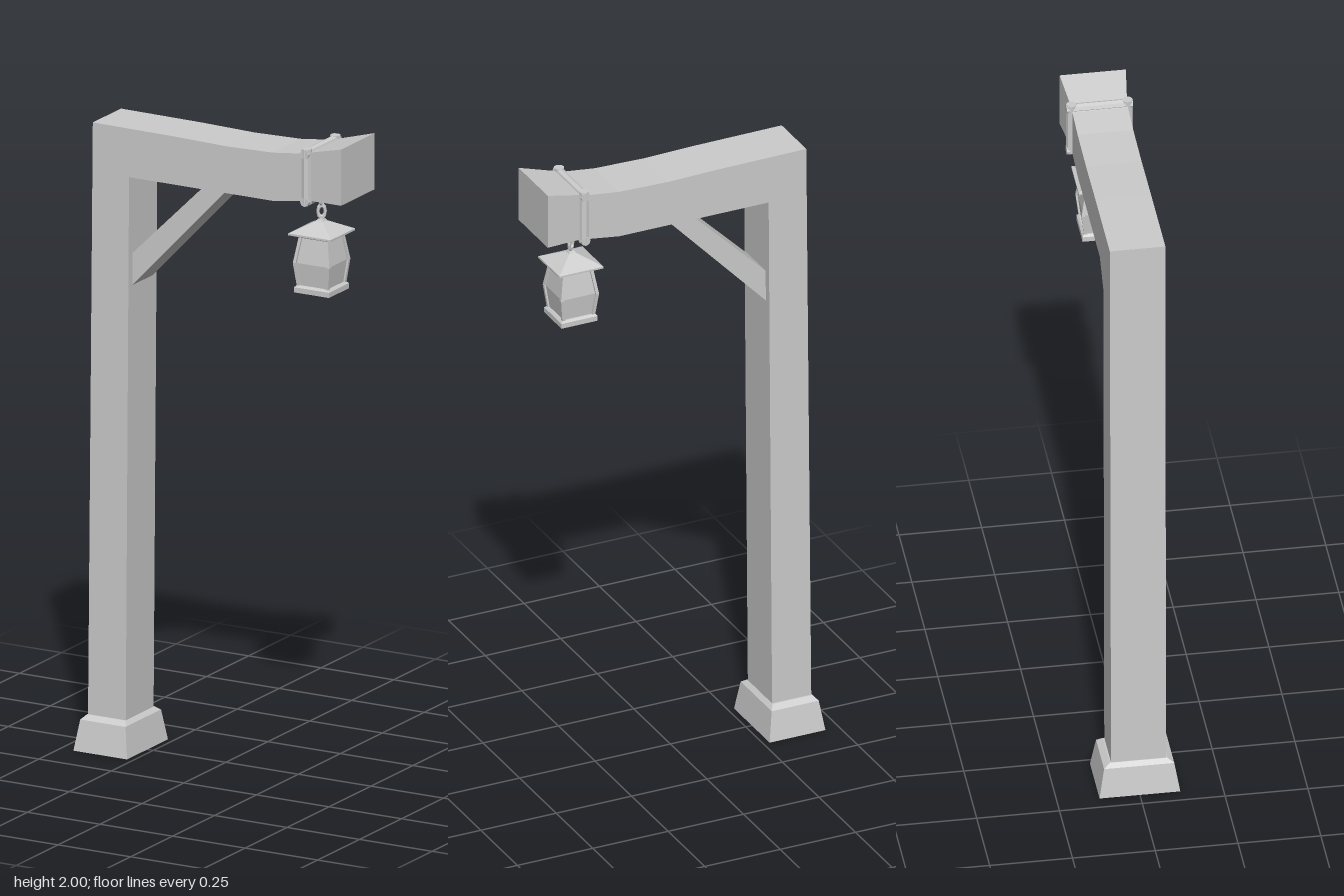
import * as THREE from 'three';

const material = new THREE.MeshStandardMaterial({ color: 0xcccccc, flatShading: true });

// Skin four-cornered sections [ax, ay, bx, by, halfDepth, zCentre]; a lies left of the travel direction.
function loft(sections) {
  const rings = sections.map(([ax, ay, bx, by, h, z = 0]) => [
    [ax, ay, z + h], [bx, by, z + h], [bx, by, z - h], [ax, ay, z - h],
  ]);
  const pos = [];
  const quad = (a, b, c, d) => pos.push(...a, ...b, ...c, ...a, ...c, ...d);
  for (let k = 0; k < rings.length - 1; k++) {
    const r = rings[k], s = rings[k + 1];
    for (let i = 0; i < 4; i++) {
      const j = (i + 1) % 4;
      quad(r[i], r[j], s[j], s[i]);
    }
  }
  const first = rings[0], last = rings[rings.length - 1];
  quad(first[3], first[2], first[1], first[0]);
  quad(last[0], last[1], last[2], last[3]);
  const g = new THREE.BufferGeometry();
  g.setAttribute('position', new THREE.Float32BufferAttribute(pos, 3));
  g.computeVertexNormals();
  return g;
}

// Upright stack of rectangles given as [y, halfWidth, halfDepth]
const stack = (cx, levels) =>
  loft(levels.map(([y, w, d = w]) => [cx - w, y, cx + w, y, d]));

function add(parent, name, geometry) {
  const mesh = new THREE.Mesh(geometry, material);
  mesh.name = name;
  parent.add(mesh);
  return mesh;
}

export function createModel() {
  const model = new THREE.Group();
  model.name = 'lampPost';

  // Tapered foot with a bevelled top
  add(model, 'foot', stack(-0.3625, [
    [0, 0.0925, 0.122], [0.095, 0.078, 0.106], [0.108, 0.066, 0.087],
  ]));

  // Post turning through a mitred corner into the upswept arm
  add(model, 'postAndArm', loft([
    [-0.427, 0.1, -0.297, 0.1, 0.083],
    [-0.41, 1.952, -0.285, 1.8, 0.084],
    [-0.13, 1.95, -0.13, 1.8, 0.084],
    [0.05, 1.946, 0.05, 1.8, 0.084],
    [0.21, 1.95, 0.21, 1.8, 0.084],
    [0.31, 1.962, 0.31, 1.814, 0.084],
    [0.345, 1.971, 0.345, 1.82, 0.086],
    [0.455, 2, 0.455, 1.825, 0.1],
  ]));

  // Diagonal brace
  add(model, 'brace', loft([
    [-0.29, 1.555, -0.29, 1.455, 0.06],
    [-0.04, 1.802, 0.04, 1.802, 0.06],
  ]));

  // Strap of four round bars around the arm
  const strap = new THREE.Group();
  strap.name = 'strap';
  model.add(strap);
  for (const s of [-1, 1]) {
    const side = add(strap, 'strapSide', new THREE.CylinderGeometry(0.016, 0.016, 0.17, 8));
    side.position.set(0.328, 1.895, s * 0.085);
    const cross = add(strap, 'strapCross', new THREE.CylinderGeometry(0.015, 0.015, 0.2, 8));
    cross.rotation.x = Math.PI / 2;
    cross.position.set(0.328, 1.891 + s * 0.074, 0);
  }

  // Hanging lantern
  const lantern = new THREE.Group();
  lantern.name = 'lantern';
  lantern.position.x = 0.33;
  model.add(lantern);

  [[1.8, 0.018, Math.PI / 2], [1.764, 0.028, 0.6]].forEach(([y, half, turn]) => {
    const link = add(lantern, 'chainLink', new THREE.TorusGeometry(0.011, 0.005, 6, 10));
    link.scale.y = half / 0.016;
    link.position.y = y;
    link.rotation.y = turn;
  });

  add(lantern, 'roof', stack(0, [
    [1.688, 0.05], [1.697, 0.073], [1.703, 0.073], [1.735, 0.012], [1.742, 0.008],
  ]));

  const profile = [[1.535, 0.054], [1.61, 0.063], [1.69, 0.05]];
  add(lantern, 'panes', stack(0, profile.map(([y, w]) => [y, w - 0.006])));
  for (const sx of [-1, 1]) for (const sz of [-1, 1]) {
    const t = 0.005;
    add(lantern, 'cornerBar', loft(profile.map(([y, w]) => {
      const c = w - t;
      return [sx * c - t, y, sx * c + t, y, t, sz * c];
    })));
  }
  add(lantern, 'lanternBase', stack(0, [[1.518, 0.06], [1.534, 0.06], [1.54, 0.054]]));

  return model;
}
